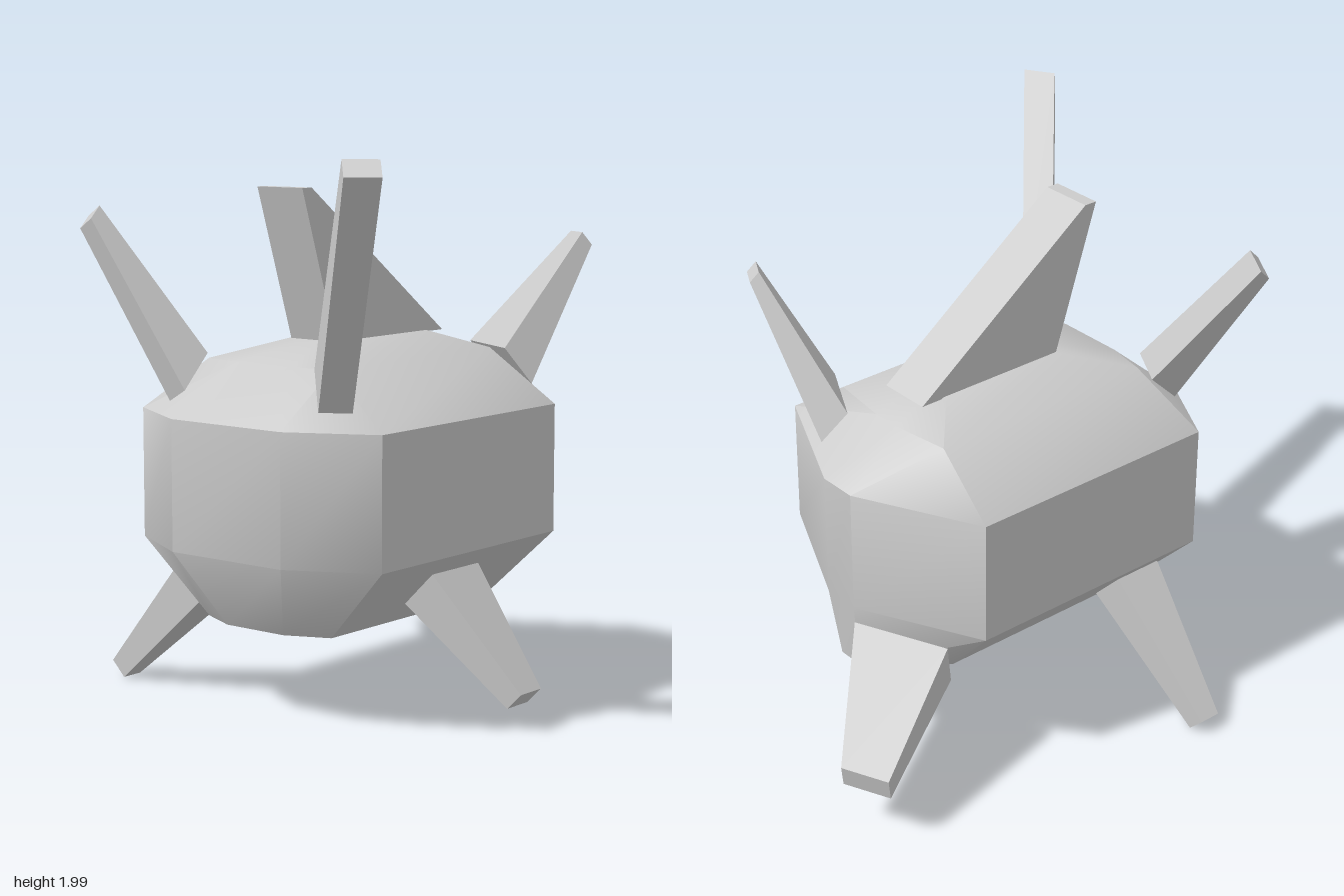
import * as THREE from 'three';
import { toCreasedNormals } from 'three/addons/utils/BufferGeometryUtils.js';

const V = (a) => new THREE.Vector3(...a);

// Skin a stack of equal-length rings (counter-clockwise about the stacking axis) and cap both ends.
function loft(rings, crease) {
  const n = rings[0].length;
  const last = (rings.length - 1) * n;
  const index = [];
  for (let r = 0; r < rings.length - 1; r++) {
    for (let i = 0; i < n; i++) {
      const j = (i + 1) % n;
      const a = r * n + i, b = r * n + j;
      index.push(a, b, b + n, a, b + n, a + n);
    }
  }
  for (let i = 1; i < n - 1; i++) {
    index.push(0, i + 1, i, last, last + i, last + i + 1);
  }
  const geometry = new THREE.BufferGeometry().setFromPoints(rings.flat());
  geometry.setIndex(index);
  return toCreasedNormals(geometry, crease);
}

// Tapered four-sided spike: u and v are the half-widths of its base, su and sv shrink them at the tip.
function spikeGeometry({ base, tip, u, v, su, sv }) {
  const b = V(base), t = V(tip), hu = V(u), hv = V(v);
  const axis = t.clone().sub(b);
  if (hu.clone().cross(hv).dot(axis) < 0) hv.negate();
  const ring = (c, ku, kv) => [[-1, -1], [1, -1], [1, 1], [-1, 1]].map(([p, q]) =>
    c.clone().addScaledVector(hu, p * ku).addScaledVector(hv, q * kv));
  return loft([ring(b, 1, 1), ring(t, su, sv)], 0.3);
}

export function createModel() {
  const model = new THREE.Group();
  const material = new THREE.MeshStandardMaterial({ color: 0xcccccc });
  const add = (name, geometry) => {
    const mesh = new THREE.Mesh(geometry, material);
    mesh.name = name;
    model.add(mesh);
    return mesh;
  };

  // Faceted body: horizontal rings of [x, z], from the belly to the crown
  const belly = [[-0.53, 0.30], [0.36, 0.30], [0.62, 0.05], [0.62, -0.05],
    [0.36, -0.27], [-0.53, -0.27], [-0.60, -0.12], [-0.60, 0.14]];
  const waist = [[-0.59, 0.57], [0.42, 0.57], [0.65, 0.08], [0.65, -0.07],
    [0.42, -0.53], [-0.59, -0.53], [-0.75, -0.24], [-0.75, 0.26]];
  const shoulder = [[-0.51, 0.29], [0.40, 0.29], [0.43, 0.06], [0.43, -0.06],
    [0.40, -0.28], [-0.51, -0.28], [-0.54, -0.12], [-0.54, 0.14]];
  const crown = [[-0.28, 0.12], [0.24, 0.12], [0.26, 0.04], [0.26, -0.03],
    [0.24, -0.10], [-0.28, -0.10], [-0.29, -0.03], [-0.29, 0.04]];
  const levels = [[0.33, belly], [0.6, waist], [1.07, waist], [1.26, shoulder], [1.325, crown]];
  const rings = levels.map(([y, ring]) => ring.map(([x, z]) => new THREE.Vector3(x, y, z)));
  add('body', loft(rings, 0.7));

  // Swept fin on the crown
  const outline = new THREE.Shape([[-0.28, 1.32], [0.34, 1.32], [-0.41, 1.87], [-0.46, 1.87]]
    .map(([x, y]) => new THREE.Vector2(x, y)));
  const fin = new THREE.ExtrudeGeometry(outline, { depth: 0.205, bevelEnabled: false });
  add('topFin', fin.translate(0, 0, -0.09));

  // Spikes around the body
  const spikes = {
    frontRightUpperSpike: { base: [-0.59, 1.2, 0.36], tip: [-0.945, 1.965, 0.77],
      u: [0.03, 0, 0.05], v: [0.05, 0.065, -0.05], su: 1.05, sv: 0.42 },
    backRightUpperSpike: { base: [-0.605, 1.2, -0.29], tip: [-0.715, 1.755, -0.66],
      u: [0.065, 0.06, -0.005], v: [0.02, -0.025, -0.055], su: 0.36, sv: 0.8 },
    frontLeftUpperSpike: { base: [0.47, 1.2, 0.29], tip: [0.572, 1.667, 0.575],
      u: [0.07, 0, -0.13], v: [-0.03, 0.065, -0.04], su: 0.3, sv: 0.35 },
    backLeftLowerSpike: { base: [0.56, 0.46, -0.235], tip: [0.945, 0.225, -0.51],
      u: [0.08, 0.005, 0.165], v: [0.015, 0.08, -0.01], su: 0.5, sv: 0.52 },
    frontLowerSpike: { base: [-0.085, 0.47, 0.44], tip: [-0.085, 0.108, 0.8],
      u: [0.135, 0, 0], v: [0, 0.06, 0.06], su: 0.45, sv: 0.48 },
    backLowerSpike: { base: [-0.395, 0.45, -0.38], tip: [-0.395, 0.03, -0.825],
      u: [0.1, 0, 0], v: [0, 0.06, -0.06], su: 0.43, sv: 0.48 },
  };
  for (const [name, spec] of Object.entries(spikes)) add(name, spikeGeometry(spec));

  return model;
}
